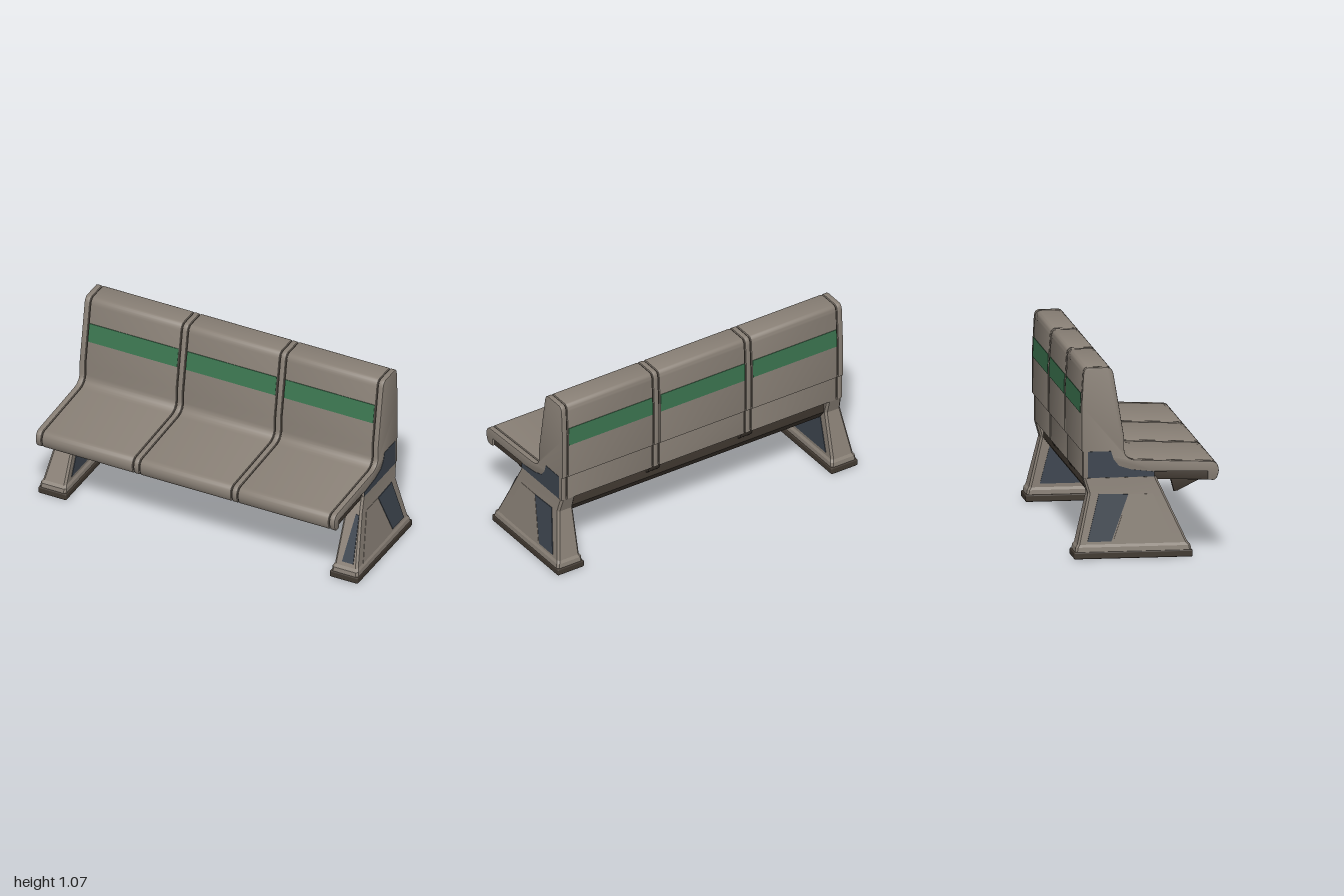
import * as THREE from 'three';
import { toCreasedNormals } from 'three/addons/utils/BufferGeometryUtils.js';
import { RoundedBoxGeometry } from 'three/addons/geometries/RoundedBoxGeometry.js';

const mat = (name, color, side = THREE.FrontSide) => {
  const m = new THREE.MeshStandardMaterial({ color, side });
  m.name = name;
  return m;
};

// Side profile given as [z, y] points, as a shape
const profile = (pts) => new THREE.Shape(pts.map(([z, y]) => new THREE.Vector2(z, y)));

// Extrudes a side profile between x = a and x = b with a small bevel, keeping its outline
function extrudeX(shape, a, b, bevel = 0.005, inset = 0) {
  const g = new THREE.ExtrudeGeometry(shape, {
    depth: b - a - 2 * bevel, curveSegments: 6, bevelEnabled: true, bevelSegments: 2,
    bevelThickness: bevel, bevelSize: inset ? 0 : bevel, bevelOffset: inset ? -inset : -bevel,
  });
  g.rotateY(-Math.PI / 2);
  g.translate(b - bevel, 0, 0);
  return toCreasedNormals(g, 0.6);
}

// Lofts chamfered rectangles [y, xMin, xMax, zMin, zMax] from bottom to top
function loftRings(rings, c = 0.012) {
  const pos = [], idx = [], n = 8;
  for (const [y, x0, x1, z0, z1] of rings) {
    for (const [x, z] of [[x0 + c, z1], [x1 - c, z1], [x1, z1 - c], [x1, z0 + c],
      [x1 - c, z0], [x0 + c, z0], [x0, z0 + c], [x0, z1 - c]]) pos.push(x, y, z);
  }
  for (let r = 0; r < rings.length - 1; r++) {
    for (let i = 0; i < n; i++) {
      const a = r * n + i, b = r * n + (i + 1) % n;
      idx.push(a, b, b + n, a, b + n, a + n);
    }
  }
  const top = (rings.length - 1) * n;
  for (let i = 1; i < n - 1; i++) idx.push(0, i + 1, i, top, top + i, top + i + 1);
  const g = new THREE.BufferGeometry();
  g.setAttribute('position', new THREE.Float32BufferAttribute(pos, 3));
  g.setIndex(idx);
  return toCreasedNormals(g, 0.3);
}

// Thin plate: a polygon fan lifted along an offset vector, with rim walls
function plate(pts, off) {
  const pos = [];
  const up = pts.map((p) => p.map((v, k) => v + off[k]));
  for (let i = 1; i < pts.length - 1; i++) pos.push(...up[0], ...up[i], ...up[i + 1]);
  pts.forEach((p, i) => {
    const j = (i + 1) % pts.length;
    pos.push(...p, ...pts[j], ...up[j], ...p, ...up[j], ...up[i]);
  });
  const g = new THREE.BufferGeometry();
  g.setAttribute('position', new THREE.Float32BufferAttribute(pos, 3));
  g.computeVertexNormals();
  return g;
}

export function createModel() {
  const root = new THREE.Group();
  root.name = 'bench';
  const shell = mat('warm grey', 0x8a8177);
  const shellPlate = mat('warm grey plate', 0x8a8177, THREE.DoubleSide);
  const dark = mat('dark brown', 0x423a32);
  const slate = mat('slate', 0x3e4650, THREE.DoubleSide);
  const green = mat('green', 0x3c7651, THREE.DoubleSide);
  const add = (name, geo, material, parent = root) => {
    const m = new THREE.Mesh(geo, material);
    m.name = name;
    parent.add(m);
    return m;
  };

  // Seat and backrest outline
  const seat = new THREE.Shape();
  seat.moveTo(0.05, 0.445);
  seat.lineTo(0.05, 0.475);
  seat.lineTo(0.35, 0.468);
  seat.lineTo(0.35, 0.42);
  seat.lineTo(0.38, 0.418);
  seat.quadraticCurveTo(0.405, 0.42, 0.412, 0.47);
  seat.quadraticCurveTo(0.412, 0.522, 0.37, 0.524);
  seat.lineTo(-0.06, 0.543);
  seat.quadraticCurveTo(-0.115, 0.55, -0.12, 0.6);
  seat.lineTo(-0.12, 0.67);
  seat.lineTo(-0.18, 1.03);
  seat.quadraticCurveTo(-0.188, 1.068, -0.215, 1.07);
  seat.lineTo(-0.325, 1.07);
  seat.quadraticCurveTo(-0.348, 1.065, -0.35, 1.03);
  seat.lineTo(-0.36, 0.85);
  seat.lineTo(-0.36, 0.6);
  seat.lineTo(-0.35, 0.594);
  seat.lineTo(-0.35, 0.445);
  seat.closePath();

  // Three seats, two dividing ribs and two end caps over a dark core
  add('seamCore', extrudeX(seat, -0.925, 0.925, 0.002, 0.01), dark);
  const bays = [[-0.896, -0.33], [-0.284, 0.284], [0.33, 0.896]];
  for (const [a, b] of bays) {
    add('seatSection', extrudeX(seat, a, b), shell);
    // Stripe on the front and the back of the backrest
    const l = a + 0.004, r = b - 0.004;
    add('frontStripe', plate([[l, 0.81, -0.143], [r, 0.81, -0.143],
      [r, 0.92, -0.1615], [l, 0.92, -0.1615]], [0, 0, 0.003]), green);
    add('backStripe', plate([[r, 0.81, -0.36], [l, 0.81, -0.36],
      [l, 0.92, -0.356], [r, 0.92, -0.356]], [0, 0, -0.003]), green);
  }
  for (const s of [-1, 1]) {
    add('dividerRib', extrudeX(seat, s * 0.307 - 0.016, s * 0.307 + 0.016), shell);
    add('endCap', extrudeX(seat, s * 0.9185 - 0.0165, s * 0.9185 + 0.0165), shell);
  }

  // Underside: seat pan and box beam
  add('seatPan', extrudeX(profile([[0.355, 0.418], [0.355, 0.475], [0.03, 0.485], [0.03, 0.43]]), -0.92, 0.92), dark);
  add('beam', extrudeX(profile([[0.05, 0.46], [0.0, 0.305], [-0.27, 0.305], [-0.31, 0.36], [-0.31, 0.46]]), -0.88, 0.88), dark);

  // Wedge brackets under the seat
  const wedge = profile([[0.34, 0.425], [0.19, 0.35], [0.17, 0.347], [0.148, 0.43]]);
  const rearWedge = profile([[-0.345, 0.45], [-0.33, 0.41], [-0.27, 0.36], [-0.22, 0.45]]);
  for (const s of [-1, 1]) {
    add('frontBracket', extrudeX(wedge, s * 0.315 - 0.04, s * 0.315 + 0.04), dark);
    add('endBracket', extrudeX(wedge, s * 0.845 - 0.017, s * 0.845 + 0.017), dark);
    add('rearBracket', extrudeX(rearWedge, s * 0.307 - 0.04, s * 0.307 + 0.04), dark);
  }

  // Legs: [y, inner x, outer x, back z, front z]
  const legRings = [
    [0.035, 0.83, 0.996, -0.405, 0.25], [0.065, 0.832, 0.992, -0.4, 0.245],
    [0.08, 0.84, 0.984, -0.39, 0.23], [0.36, 0.84, 0.942, -0.325, 0.1],
    [0.446, 0.84, 0.934, -0.35, 0.06],
  ];
  const outerX = (y) => 0.984 - (y - 0.08) * 0.15;
  for (const s of [-1, 1]) {
    const leg = new THREE.Group();
    leg.name = s > 0 ? 'leftLeg' : 'rightLeg';
    root.add(leg);
    add('legBody', loftRings(legRings.map(([y, i, o, b, f]) =>
      [y, Math.min(s * i, s * o), Math.max(s * i, s * o), b, f])), shell, leg);
    const foot = add('foot', new RoundedBoxGeometry(0.177, 0.04, 0.668, 2, 0.008), dark, leg);
    foot.position.set(s * 0.9115, 0.02, -0.078);

    // Outer, inner and upper side panels
    const side = (pts, xAt) => pts.map(([z, y]) => [s * xAt(y), y, z]);
    add('outerPanel', plate(side([[-0.1, 0.352], [-0.265, 0.358], [-0.335, 0.095], [-0.2, 0.095]], outerX),
      [s * 0.004, 0, 0]), slate, leg);
    add('outerField', plate(side([[0.04, 0.352], [-0.095, 0.352], [-0.19, 0.095], [-0.13, 0.08], [0.16, 0.08]], outerX),
      [s * 0.002, 0, 0]), shellPlate, leg);
    add('innerPanel', plate(side([[0.05, 0.33], [-0.27, 0.33], [-0.33, 0.1], [0.16, 0.1]], () => 0.84),
      [-s * 0.003, 0, 0]), slate, leg);
    add('upperPanel', plate(side([[-0.325, 0.448], [0.05, 0.448], [0.05, 0.475], [-0.08, 0.49], [-0.15, 0.512],
      [-0.18, 0.55], [-0.195, 0.596], [-0.325, 0.596]], () => 0.934), [s * 0.003, 0, 0]), slate, leg);
  }

  // Front panel on the left leg
  const frontZ = (y) => 0.23 - (y - 0.08) * 0.464;
  add('frontLegPanel', plate([[0.885, 0.1], [0.955, 0.1], [0.932, 0.35], [0.912, 0.355]]
    .map(([x, y]) => [x, y, frontZ(y)]), [0, 0.002, 0.004]), slate);

  return root;
}
